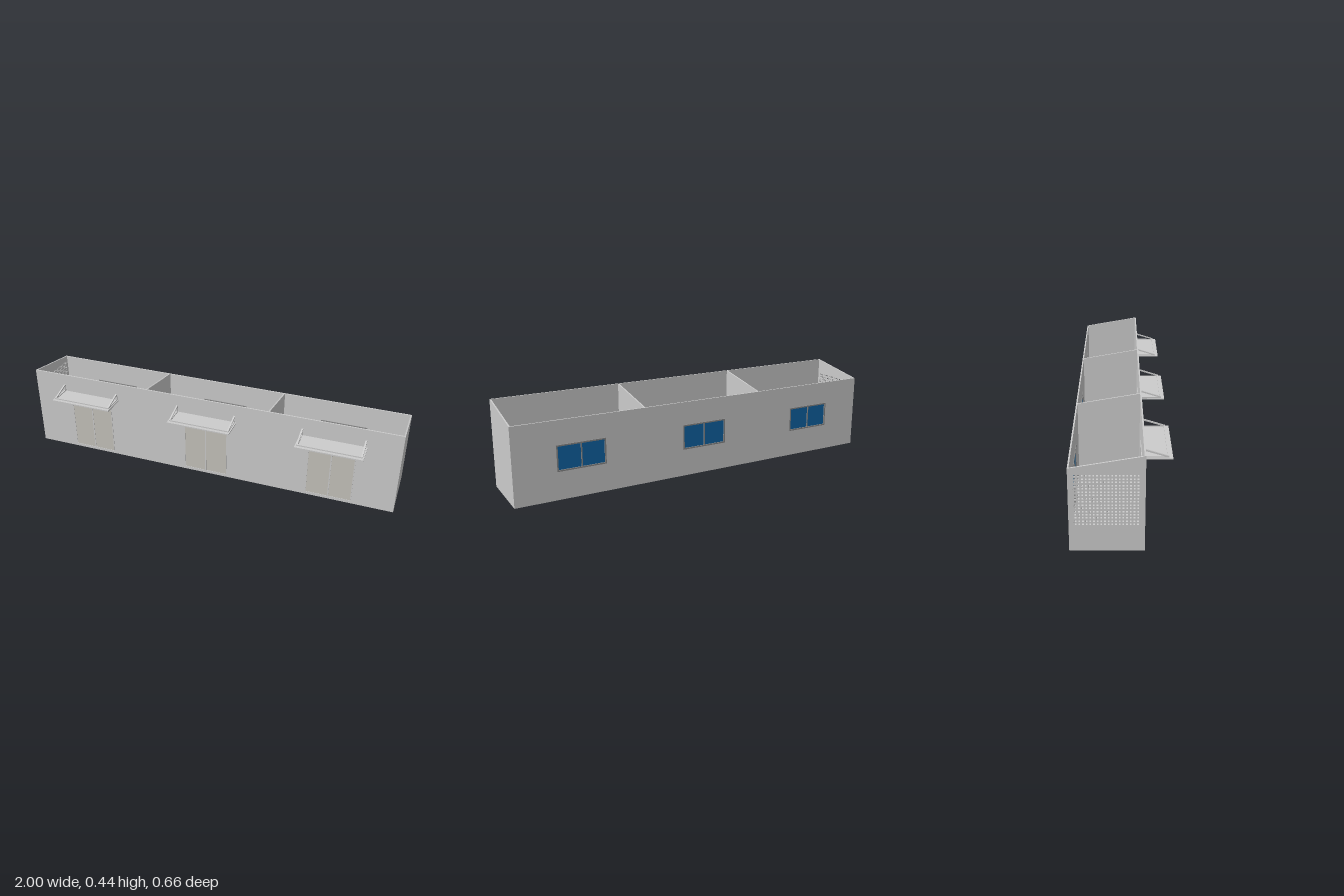
import * as THREE from 'three';

const L = 1.977, D = 0.314, T = 0.007;      // length, depth, wall thickness
const H_FRONT = 0.44, H_BACK = 0.385, FLOOR = 0.012;
const HL = L / 2, HD = D / 2;
const BAY = L / 3;

const mat = (color) => new THREE.MeshStandardMaterial({ color, flatShading: true });
const grey = mat(0xcccccc), leafMat = mat(0xc4c2ba), frameMat = mat(0x8c8c8c), glassMat = mat(0x0f65a7);

function add(parent, name, geometry, material = grey) {
  const m = new THREE.Mesh(geometry, material);
  m.name = name;
  parent.add(m);
  return m;
}

// Box given by its minimum and maximum corners
function box(parent, name, [x0, y0, z0], [x1, y1, z1], material) {
  const m = add(parent, name, new THREE.BoxGeometry(x1 - x0, y1 - y0, z1 - z0), material);
  m.position.set((x0 + x1) / 2, (y0 + y1) / 2, (z0 + z1) / 2);
  return m;
}

const poly = (pts, Type = THREE.Shape) => new Type(pts.map(([x, y]) => new THREE.Vector2(x, y)));
const rect = (x0, y0, x1, y1, Type) => poly([[x0, y0], [x1, y0], [x1, y1], [x0, y1]], Type);
const extrude = (shape, depth) => new THREE.ExtrudeGeometry(shape, { depth, bevelEnabled: false });

// Long wall with one opening per bay
function longWall(parent, name, h, z, w, y0, y1) {
  const s = rect(-HL, FLOOR, HL, h);
  for (const i of [-1, 0, 1]) s.holes.push(rect(i * BAY - w / 2, y0, i * BAY + w / 2, y1, THREE.Path));
  add(parent, name, extrude(s, T), grey).position.z = z;
}

// Cross wall with a sloping top; opening given as [z0, y0, z1, y1]
function crossWall(parent, name, x, opening) {
  const s = poly([[-HD, FLOOR], [HD, FLOOR], [HD, H_BACK], [-HD, H_FRONT]]);
  if (opening) {
    const [z0, y0, z1, y1] = opening;
    s.holes.push(rect(-z1, y0, -z0, y1, THREE.Path));
  }
  add(parent, name, extrude(s, T).rotateY(Math.PI / 2)).position.x = x;
}

// Rectangular frame around an opening
function frame(parent, name, w, y0, y1, t, depth, z, material) {
  const s = rect(-w / 2, y0, w / 2, y1);
  s.holes.push(rect(-w / 2 + t, y0 + t, w / 2 - t, y1 - t, THREE.Path));
  add(parent, name, extrude(s, depth), material).position.z = z;
}

const DOOR = { w: 0.236, y0: 0.014, y1: 0.293 };
const WIN = { w: 0.244, y0: 0.14, y1: 0.268 };

// Double door
function doubleDoor() {
  const g = new THREE.Group();
  g.name = 'doubleDoor';
  const { w, y0, y1 } = DOOR, t = 0.004, z = HD - T;
  frame(g, 'doorFrame', w, y0, y1, t, T + 0.006, z - 0.003, grey);
  for (const s of [-1, 1]) {
    const a = s * 0.001, b = s * (w / 2 - t);
    box(g, 'doorLeaf', [Math.min(a, b), y0 + t, z], [Math.max(a, b), y1 - t, z + T + 0.001], leafMat);
  }
  box(g, 'meetingStile', [-0.003, y0 + t, z - 0.002], [0.003, y1 - t, z + T + 0.003], grey);
  return g;
}

// Two-pane window
function backWindow() {
  const g = new THREE.Group();
  g.name = 'window';
  const { w, y0, y1 } = WIN, t = 0.007, z = -HD;
  frame(g, 'windowFrame', w, y0, y1, t, T + 0.008, z - 0.005, frameMat);
  box(g, 'windowMullion', [-0.003, y0 + t, z - 0.004], [0.003, y1 - t, z + T + 0.002], frameMat);
  for (const s of [-1, 1]) {
    const a = s * 0.003, b = s * (w / 2 - t);
    box(g, 'windowPane', [Math.min(a, b), y0 + t, z], [Math.max(a, b), y1 - t, z + 0.005], glassMat);
  }
  return g;
}

// Flat canopy carried by two triangular brackets
function canopy() {
  const g = new THREE.Group();
  g.name = 'canopy';
  const w = 0.33, out = 0.12, reach = 0.104, t = 0.008;
  box(g, 'canopySlab', [-w / 2, 0.34, HD], [w / 2, 0.346, HD + out]);
  box(g, 'canopyFrontRail', [-w / 2 + 0.006, 0.346, HD + reach - 0.007], [w / 2 - 0.006, 0.352, HD + reach]);
  const tri = poly([[0, 0.346], [-reach, 0.346], [-reach, 0.352], [-0.006, 0.383], [0, 0.383]]);
  tri.holes.push(poly([[-0.006, 0.351], [-0.088, 0.351], [-0.006, 0.376]], THREE.Path));
  for (const s of [-1, 1]) {
    const bracket = add(g, 'canopyBracket', extrude(tri, t).rotateY(Math.PI / 2));
    bracket.position.set(s * (w / 2 - 0.01) - t / 2, 0, HD);
  }
  return g;
}

// Grille of crossed bars filling the opening in the end wall
function endGrille([z0, y0, z1, y1]) {
  const g = new THREE.Group();
  g.name = 'endGrille';
  const x = -HL + 0.001, cols = 18, rows = 16, t = 0.004;
  for (let i = 0; i <= cols; i++) {
    const z = z0 + (z1 - z0) * i / cols;
    box(g, 'grilleUpright', [x, y0, z - t], [x + T - 0.002, y1, z + t]);
  }
  for (let j = 0; j <= rows; j++) {
    const y = y0 + (y1 - y0) * j / rows;
    box(g, 'grilleRail', [x + 0.001, y - t, z0], [x + T - 0.003, y + t, z1]);
  }
  return g;
}

export function createModel() {
  const model = new THREE.Group();
  model.name = 'rowBuilding';
  const b = new THREE.Group();
  b.name = 'building';
  model.add(b);

  // Floor and outer walls, open to the sky
  box(b, 'floor', [-HL, 0, -HD], [HL, FLOOR, HD]);
  longWall(b, 'frontWall', H_FRONT, HD - T, DOOR.w - 0.002, DOOR.y0 + 0.001, DOOR.y1 - 0.001);
  longWall(b, 'backWall', H_BACK, -HD, WIN.w - 0.002, WIN.y0 + 0.001, WIN.y1 - 0.001);
  const grille = [-0.135, 0.12, 0.135, 0.36];
  crossWall(b, 'rightEndWall', -HL, grille);
  crossWall(b, 'leftEndWall', HL - T);
  b.add(endGrille(grille));

  // Partitions between the three rooms
  for (const s of [-1, 1]) crossWall(b, 'partition', s * BAY / 2 - T / 2);

  // Door, canopy and window of each room
  for (const i of [-1, 0, 1]) {
    for (const part of [doubleDoor(), canopy(), backWindow()]) {
      part.position.x = i * BAY;
      b.add(part);
    }
  }

  // The building stands at a slight angle
  b.rotation.y = 0.1297;
  b.position.z = -0.049;
  return model;
}
